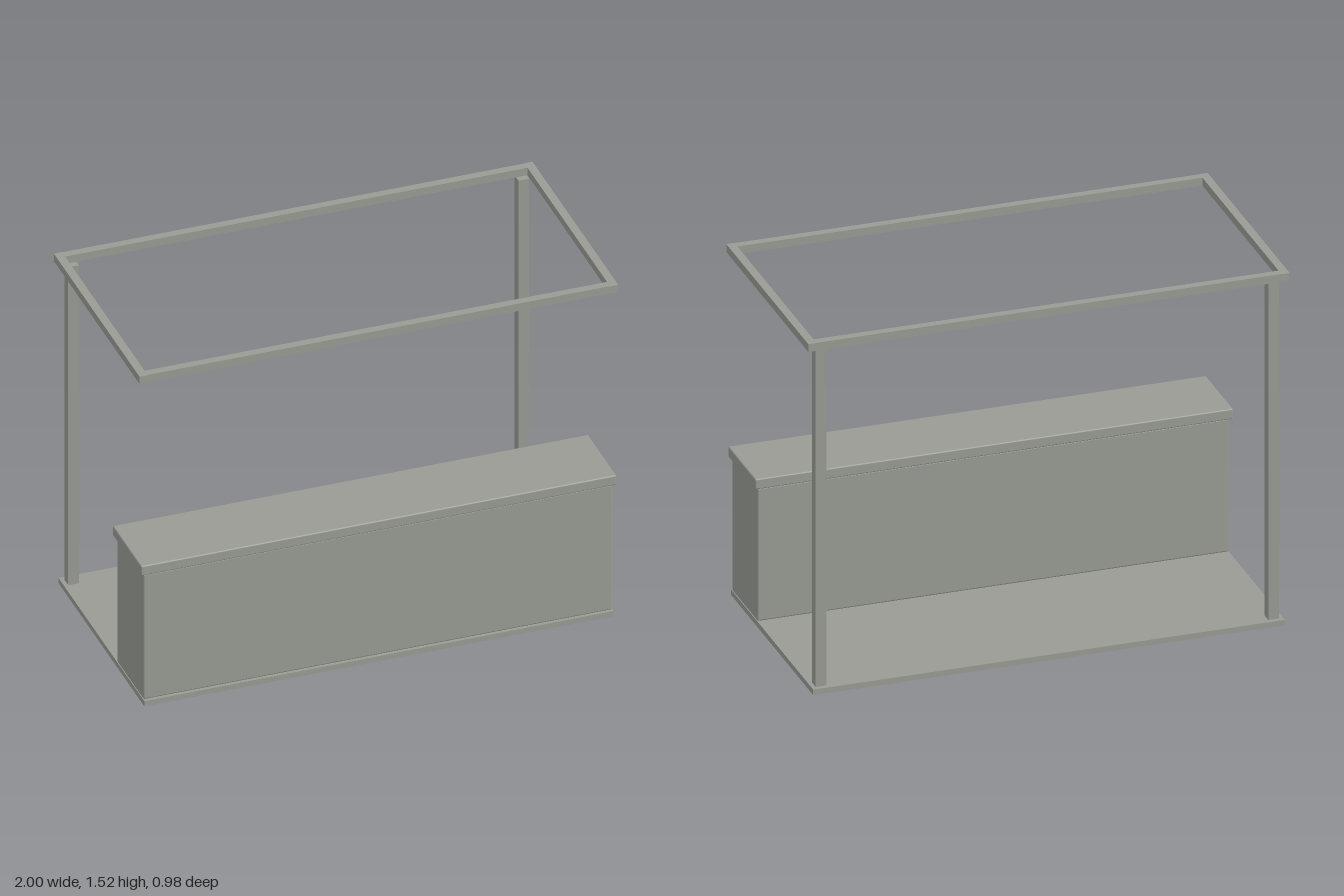
import * as THREE from 'three';
import { RoundedBoxGeometry } from 'three/addons/geometries/RoundedBoxGeometry.js';

export function createModel() {
  const group = new THREE.Group();
  const grey = new THREE.MeshStandardMaterial({ color: 0x999b94 });
  grey.name = 'warm grey';

  // Adds a box given by its extents; a radius rounds its edges
  function addBox(name, [x0, x1], [y0, y1], [z0, z1], radius = 0) {
    const size = [x1 - x0, y1 - y0, z1 - z0];
    const geometry = radius
      ? new RoundedBoxGeometry(...size, 3, radius)
      : new THREE.BoxGeometry(...size);
    const mesh = new THREE.Mesh(geometry, grey);
    mesh.name = name;
    mesh.position.set((x0 + x1) / 2, (y0 + y1) / 2, (z0 + z1) / 2);
    group.add(mesh);
  }

  // Floor and counter
  addBox('floor', [-0.98, 0.98], [0, 0.024], [-0.49, 0.49]);
  addBox('counterBody', [-0.98, 0.98], [0.024, 0.602], [0.175, 0.48], 0.008);
  addBox('counterTop', [-0.993, 0.993], [0.602, 0.647], [0.163, 0.49], 0.006);

  // Rear posts and the side bars of the roof frame
  for (const [side, s] of [['left', 1], ['right', -1]]) {
    const span = (a, b) => (s > 0 ? [a, b] : [-b, -a]);
    addBox(side + 'Post', span(0.918, 0.963), [0.024, 1.49], [-0.47, -0.426]);
    addBox(side + 'RoofBar', span(0.966, 1), [1.49, 1.524], [-0.49, 0.49]);
  }

  // Front and back bars of the roof frame
  addBox('frontRoofBar', [-0.966, 0.966], [1.49, 1.524], [0.454, 0.488]);
  addBox('backRoofBar', [-0.966, 0.966], [1.49, 1.524], [-0.488, -0.454]);

  return group;
}
